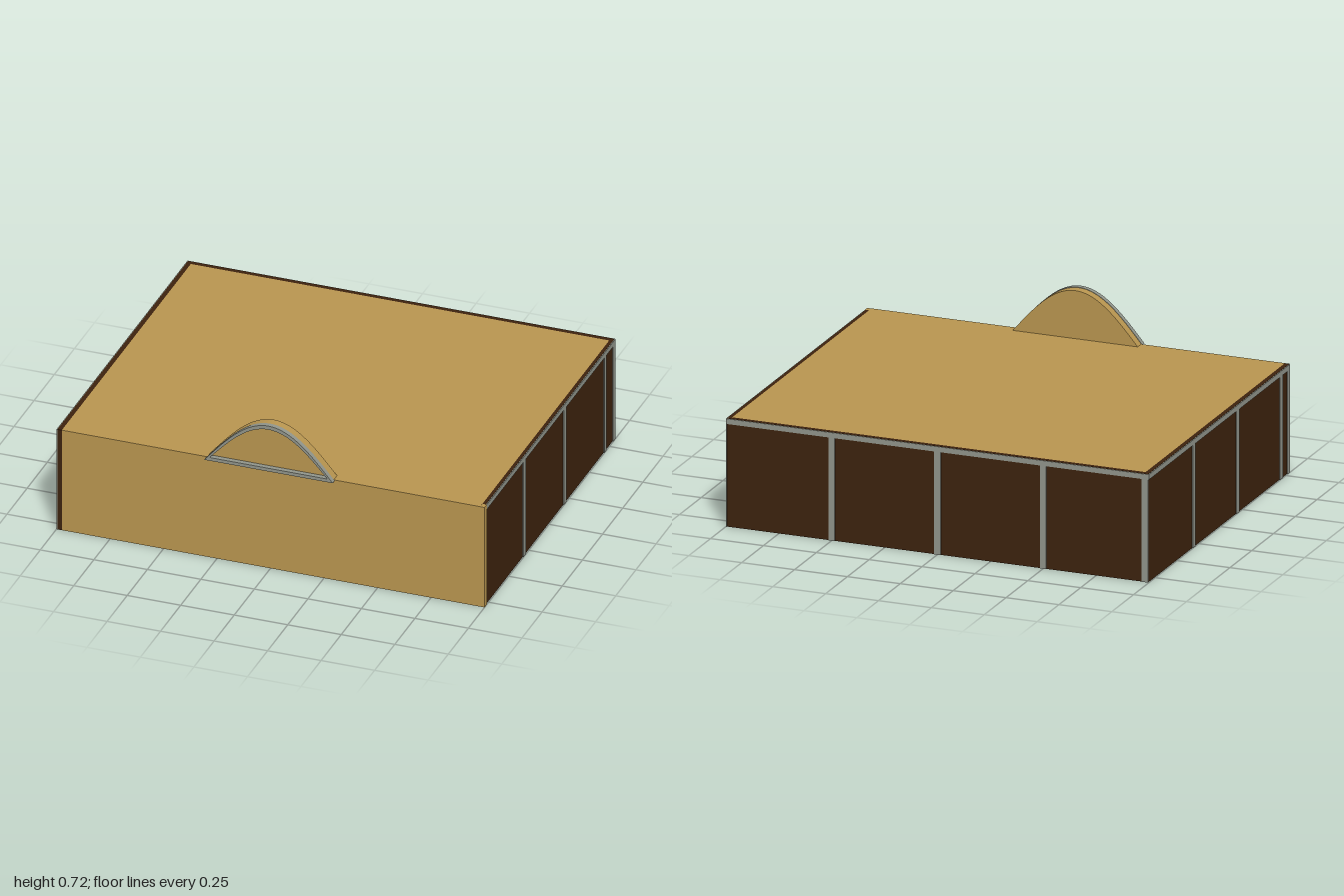
import * as THREE from 'three';

export function createModel() {
  const model = new THREE.Group();
  const mat = (name, color) => new THREE.MeshStandardMaterial({ name, color });
  const tan = mat('tan', 0xb8954f);
  const brown = mat('dark brown', 0x3c220d);
  const grey = mat('grey', 0x90948a);

  // Box given by its lower and upper limits on each axis
  const box = (name, material, [x0, x1], [y0, y1], [z0, z1]) => {
    const mesh = new THREE.Mesh(new THREE.BoxGeometry(x1 - x0, y1 - y0, z1 - z0), material);
    mesh.name = name;
    mesh.position.set((x0 + x1) / 2, (y0 + y1) / 2, (z0 + z1) / 2);
    model.add(mesh);
  };

  const H = 0.5, P = 0.004; // height, trim plate thickness
  const full = [0, H], band = [H - 0.025, H - 0.001];

  // Top and front panels, open underneath
  box('topPanel', tan, [-0.975, 0.98], [H - 0.02, H], [-0.8, 0.8]);
  box('frontPanel', tan, [-0.975, 1], [0, H - 0.0005], [0.772, 0.8]);

  // Dark walls
  box('rightWall', brown, [0.98, 1 - P], full, [-0.8, 0.772]);
  box('leftWall', brown, [-1 + P, -0.975], full, [-0.8, 0.8]);
  box('backWall', brown, [-1 + P, 1 - P], full, [-0.825 + P, -0.8]);

  // Grey bands along the upper edges
  box('rightBand', grey, [1 - P, 1], band, [-0.825, 0.772]);
  box('leftBand', grey, [-1, -1 + P], band, [-0.825, 0.8]);
  box('backBand', grey, [-1 + P, 1 - P], band, [-0.825, -0.825 + P]);

  // Grey upright strips
  const strip = [0, H - 0.025];
  for (const z of [0.302, -0.2, -0.7, -0.81]) {
    box('rightStrip', grey, [1 - P, 1], strip, [z - 0.015, z + 0.015]);
  }
  for (const z of [-0.302, 0.2, 0.7, 0.785]) {
    box('leftStrip', grey, [-1, -1 + P], strip, [z - 0.015, z + 0.015]);
  }
  for (const x of [0.5, 0, -0.5, -0.981]) {
    box('backStrip', grey, [x - 0.015, x + 0.015], strip, [-0.825, -0.825 + P]);
  }

  // Arched crest on the front edge
  const arch = (halfWidth, base, peak) => {
    const pts = [];
    for (let i = 0; i <= 32; i++) {
      const x = halfWidth * (1 - i / 16);
      pts.push(new THREE.Vector2(x, base + (peak - base) * Math.cos((x / halfWidth) * Math.PI / 2)));
    }
    return pts;
  };
  const crest = new THREE.Group();
  crest.name = 'crest';
  const extrude = (name, shape, depth, z, material) => {
    const mesh = new THREE.Mesh(new THREE.ExtrudeGeometry(shape, { depth, bevelEnabled: false }), material);
    mesh.name = name;
    mesh.position.z = z;
    crest.add(mesh);
  };
  extrude('crestBody', new THREE.Shape(arch(0.298, 0.497, 0.722)), 0.042, 0.759, tan);
  const rim = new THREE.Shape(arch(0.3, 0.497, 0.724));
  rim.holes.push(new THREE.Path(arch(0.275, 0.513, 0.706).reverse()));
  extrude('crestRim', rim, 0.024, 0.801, grey);
  model.add(crest);

  return model;
}
